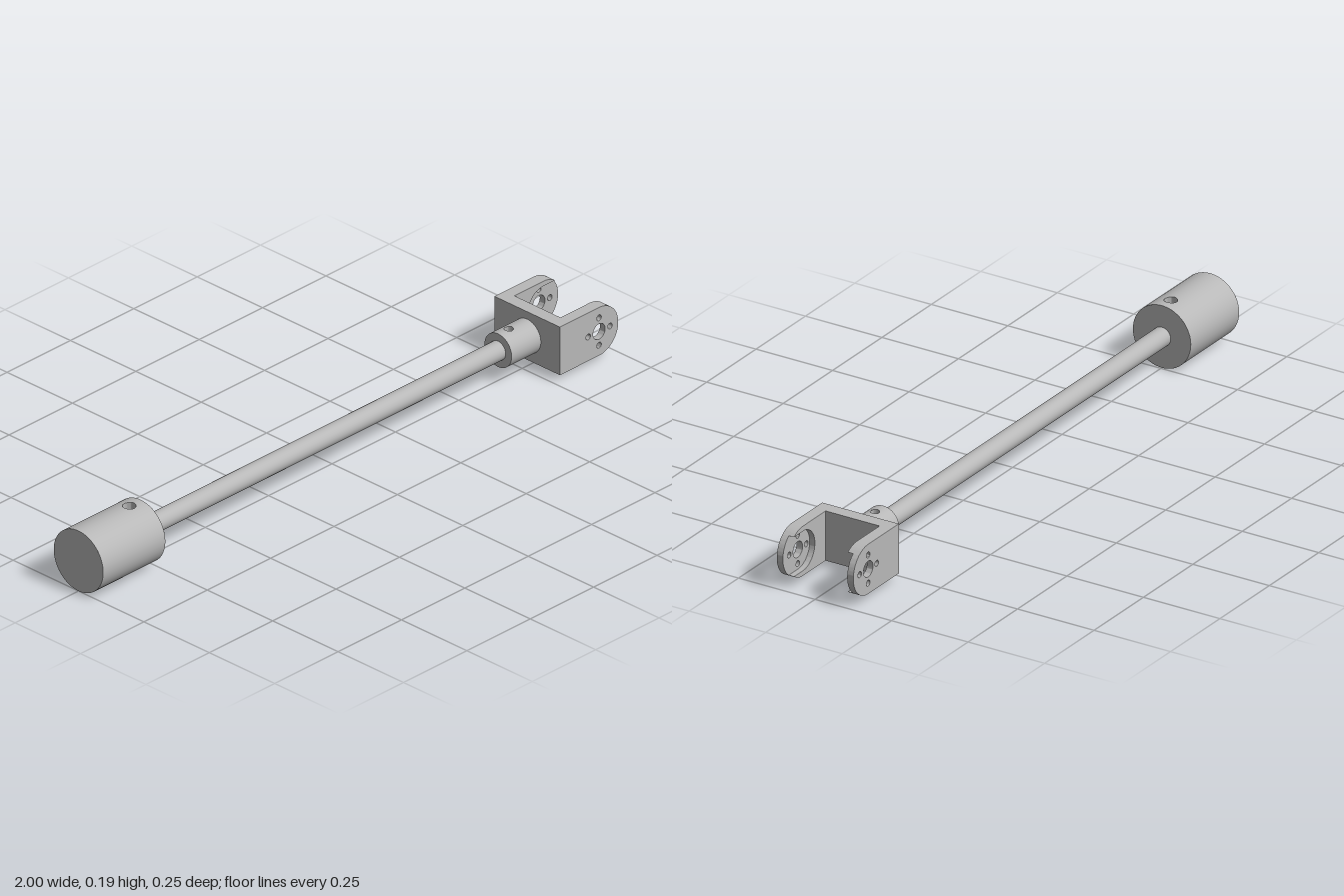
import * as THREE from 'three';
import { toCreasedNormals } from 'three/addons/utils/BufferGeometryUtils.js';
import { ParametricGeometry } from 'three/addons/geometries/ParametricGeometry.js';

const AXIS = 0.0945; // height of the shaft centre line
const steel = new THREE.MeshStandardMaterial({ color: 0xb8b8b8, side: THREE.DoubleSide });
steel.name = 'steel grey';

function add(parent, name, geometry) {
  const mesh = new THREE.Mesh(geometry, steel);
  mesh.name = name;
  parent.add(mesh);
  return mesh;
}

// Cylinder along x from x0 to x1 with a screw hole drilled from the top.
function drilledCylinder(name, x0, x1, R, hx, r, boreProfile) {
  const group = new THREE.Group();
  group.name = name;
  const w = 2.25 * r, a = Math.asin(w / R), mid = (x0 + x1) / 2;

  // wall, leaving a strip open along the top
  const wall = new THREE.CylinderGeometry(R, R, x1 - x0, 64, 1, true, Math.PI * 1.5 + a, Math.PI * 2 - 2 * a);
  add(group, name + 'Wall', wall.rotateZ(-Math.PI / 2).translate(mid, 0, 0));

  // top strip running from the round hole out to the strip's rectangle
  const corners = [[x1, -w], [x1, w], [x0, w], [x0, -w]];
  const strip = new ParametricGeometry((u, v, p) => {
    const side = Math.floor(u * 4), t = u * 4 - side;
    const c = corners[side % 4], d = corners[(side + 1) % 4];
    const angle = -Math.PI / 4 + u * Math.PI * 2;
    const x = THREE.MathUtils.lerp(hx + r * Math.cos(angle), THREE.MathUtils.lerp(c[0], d[0], t), v);
    const z = THREE.MathUtils.lerp(r * Math.sin(angle), THREE.MathUtils.lerp(c[1], d[1], t), v);
    p.set(x, Math.sqrt(R * R - z * z), z);
  }, 64, 8);
  const pos = strip.attributes.position;
  for (let i = 0; i < pos.count; i++) strip.attributes.normal.setXYZ(i, 0, pos.getY(i) / R, pos.getZ(i) / R);
  add(group, name + 'TopStrip', strip);

  // bore, its rim trimmed to the curved surface
  const bore = new THREE.LatheGeometry(boreProfile.map(([x, y]) => new THREE.Vector2(x, y)), 32);
  const bp = bore.attributes.position;
  for (let i = 0; i < bp.count; i++) {
    bp.setY(i, Math.min(bp.getY(i), Math.sqrt(R * R - bp.getZ(i) ** 2)));
  }
  add(group, name + 'ScrewHole', toCreasedNormals(bore.translate(hx, 0, 0), 0.6));

  // end faces
  add(group, name + 'InnerEnd', new THREE.CircleGeometry(R, 64).rotateY(Math.PI / 2).translate(x1, 0, 0));
  add(group, name + 'OuterEnd', new THREE.CircleGeometry(R, 64).rotateY(-Math.PI / 2).translate(x0, 0, 0));
  return group;
}

function extrude(shape, depth, x, z) {
  const g = new THREE.ExtrudeGeometry(shape, { depth, bevelEnabled: false, curveSegments: 32 });
  return toCreasedNormals(g.translate(x, 0, z), 0.5);
}

// One fork arm: a drilled outer plate and an inner layer with an open-ended pocket.
function forkArm(name) {
  const group = new THREE.Group();
  group.name = name;
  const R = 0.0755, cx = 1 - R, back = 0.81 - cx, pocket = 0.06;

  const plate = new THREE.Shape();
  plate.moveTo(back, -R);
  plate.lineTo(0, -R);
  plate.absarc(0, 0, R, -Math.PI / 2, Math.PI / 2, false);
  plate.lineTo(back, R);
  plate.closePath();
  const hole = (x, y, r) => plate.holes.push(new THREE.Path().absarc(x, y, r, 0, Math.PI * 2, true));
  hole(0, 0, 0.024);
  for (let i = 0; i < 4; i++) {
    const t = i * Math.PI / 2;
    hole(0.043 * Math.cos(t), 0.043 * Math.sin(t), 0.009);
  }
  add(group, 'armPlate', extrude(plate, 0.02, cx, 0.105));

  const tip = Math.asin(pocket / R);
  const rim = new THREE.Shape();
  rim.moveTo(back, -R);
  rim.lineTo(0, -R);
  rim.absarc(0, 0, R, -Math.PI / 2, -tip, false);
  rim.lineTo(0, -pocket);
  rim.absarc(0, 0, pocket, -Math.PI / 2, Math.PI / 2, true);
  rim.lineTo(R * Math.cos(tip), pocket);
  rim.absarc(0, 0, R, tip, Math.PI / 2, false);
  rim.lineTo(back, R);
  rim.closePath();
  add(group, 'armPocketRim', extrude(rim, 0.017, cx, 0.088));
  return group;
}

export function createModel() {
  const model = new THREE.Group();
  model.name = 'linkRod';
  const body = new THREE.Group();
  body.name = 'body';
  body.position.y = AXIS;
  model.add(body);

  // counterweight, rod and collar
  body.add(drilledCylinder('counterweight', -1, -0.755, 0.0945, -0.8, 0.019,
    [[0.019, 0.1], [0.019, 0.06], [0.012, 0.06], [0.012, 0.03], [0, 0.03]]));
  add(body, 'rod', new THREE.CylinderGeometry(0.029, 0.029, 1.415, 48, 1, true)
    .rotateZ(-Math.PI / 2).translate(-0.0475, 0, 0));
  body.add(drilledCylinder('collar', 0.655, 0.77, 0.052, 0.697, 0.013,
    [[0.013, 0.06], [0.013, 0.028], [0, 0.028]]));

  // fork bracket
  const fork = new THREE.Group();
  fork.name = 'fork';
  body.add(fork);
  add(fork, 'forkBase', new THREE.BoxGeometry(0.04, 0.151, 0.25).translate(0.79, 0, 0));
  const frontArm = forkArm('frontArm');
  const backArm = forkArm('backArm');
  backArm.rotation.x = Math.PI;
  fork.add(frontArm, backArm);

  return model;
}
